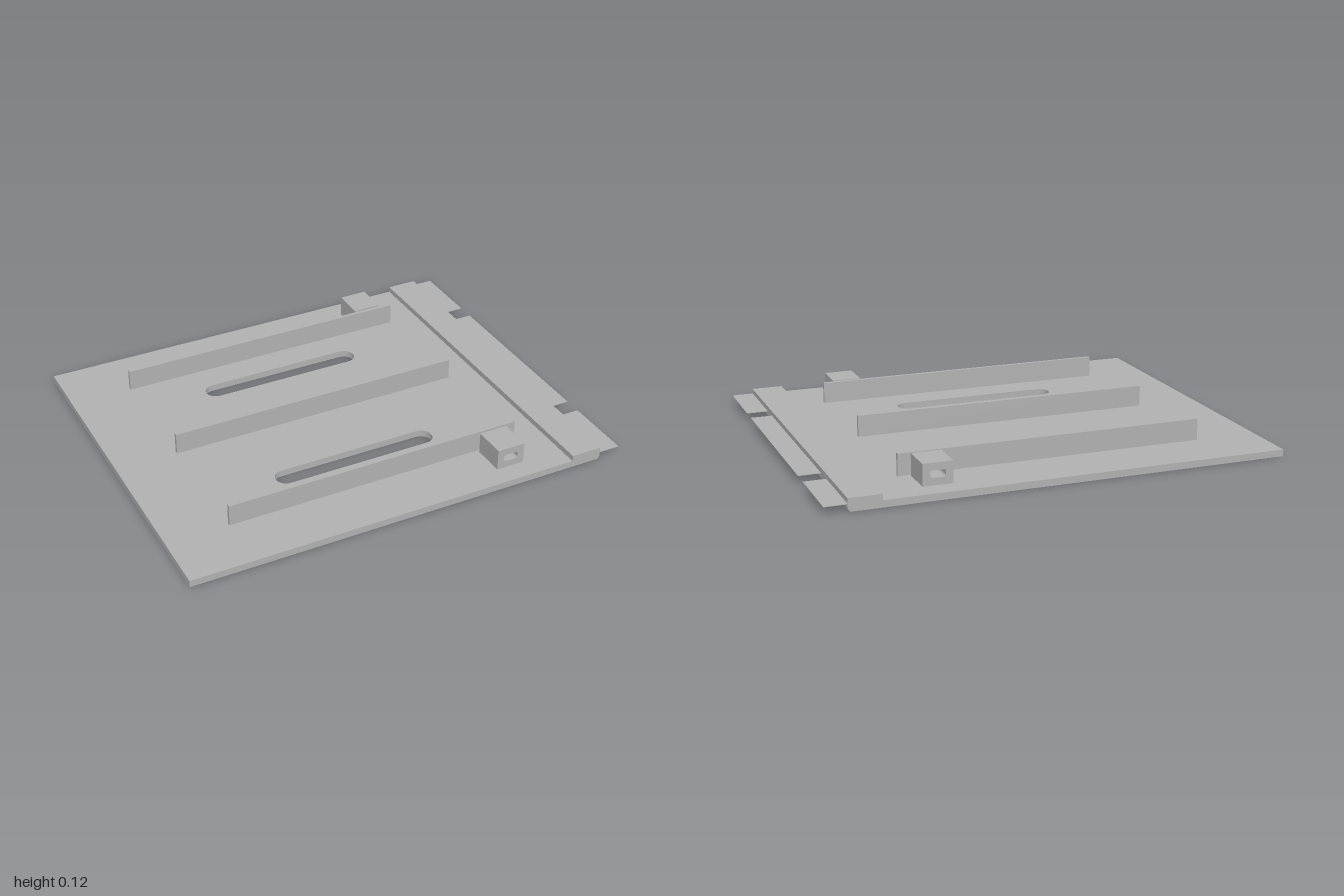
import * as THREE from 'three';

const WIDTH = 1.635; // full depth of the plate along z

// Rounded rectangle drawn on a Shape or Path
function roundedRect(path, x0, y0, x1, y1, r) {
  path.moveTo(x0 + r, y0);
  path.lineTo(x1 - r, y0);
  path.absarc(x1 - r, y0 + r, r, -Math.PI / 2, 0, false);
  path.lineTo(x1, y1 - r);
  path.absarc(x1 - r, y1 - r, r, 0, Math.PI / 2, false);
  path.lineTo(x0 + r, y1);
  path.absarc(x0 + r, y1 - r, r, Math.PI / 2, Math.PI, false);
  path.lineTo(x0, y0 + r);
  path.absarc(x0 + r, y0 + r, r, Math.PI, Math.PI * 1.5, false);
  return path;
}

function polygon(points) {
  return new THREE.Shape(points.map(([x, y]) => new THREE.Vector2(x, y)));
}

function extrude(shape, depth) {
  return new THREE.ExtrudeGeometry(shape, { depth, bevelEnabled: false, curveSegments: 10 });
}

export function createModel() {
  const group = new THREE.Group();
  const grey = new THREE.MeshStandardMaterial({ color: 0xb0b0b0 });
  grey.name = 'plain grey';

  const add = (name, geometry) => {
    const mesh = new THREE.Mesh(geometry, grey);
    mesh.name = name;
    group.add(mesh);
    return mesh;
  };
  const addBox = (name, x0, x1, y0, y1, z0, z1) =>
    add(name, new THREE.BoxGeometry(x1 - x0, y1 - y0, z1 - z0))
      .position.set((x0 + x1) / 2, (y0 + y1) / 2, (z0 + z1) / 2);

  // Base plate with two long slots
  const h = WIDTH / 2;
  const plate = polygon([[-1, -h], [0.764, -h], [0.764, h], [-1, h]]);
  for (const s of [-1, 1]) {
    plate.holes.push(roundedRect(new THREE.Path(), -0.424, s * 0.371 - 0.048, 0.325, s * 0.371 + 0.048, 0.0479));
  }
  add('basePlate', extrude(plate, 0.03).rotateX(-Math.PI / 2));

  // Raised end strip with a chamfered lower edge
  const strip = polygon([[0.764, 0], [0.893, 0], [0.904, 0.012], [0.904, 0.056], [0.764, 0.056]]);
  add('endStrip', extrude(strip, WIDTH).translate(0, 0, -h));

  // Thin tabs along the end strip
  for (const [z0, z1] of [[-h, -0.507], [-0.427, 0.427], [0.507, h]]) {
    addBox('endTab', 0.9, 1, 0.031, 0.034, z0, z1);
  }

  // Three upright ribs
  for (const z of [-0.56, 0, 0.56]) {
    addBox('rib', -0.722, 0.625, 0.03, 0.125, z - 0.008, z + 0.008);
  }

  // Two blocks, each pierced by a rounded opening
  const block = polygon([[0.444, 0.03], [0.573, 0.03], [0.573, 0.125], [0.444, 0.125]]);
  block.holes.push(roundedRect(new THREE.Path(), 0.475, 0.062, 0.541, 0.093, 0.011));
  for (const z of [-0.726, 0.58]) {
    add('block', extrude(block, 0.146).translate(0, 0, z));
  }

  return group;
}
